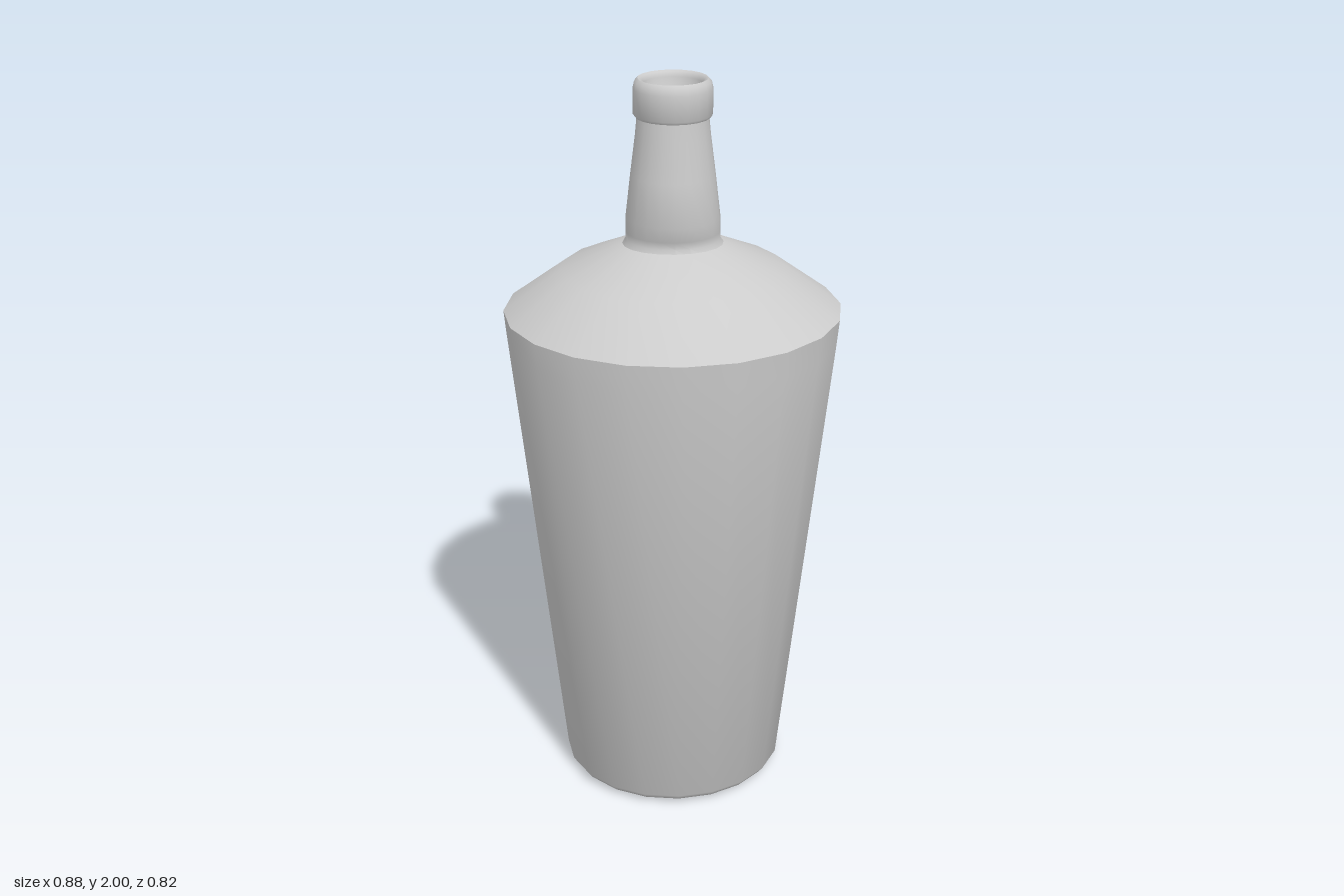
import * as THREE from 'three';
import { mergeVertices, toCreasedNormals } from 'three/addons/utils/BufferGeometryUtils.js';

const SIDES = 20;
const material = new THREE.MeshStandardMaterial({ color: 0xcccccc });

// Turns rows of [x radius, y, z radius] into an oval lathe with softened shading.
function ovalLathe(name, rows, crease = 0.9) {
  const geometry = new THREE.LatheGeometry(rows.map(([r, y]) => new THREE.Vector2(r, y)), SIDES);
  const position = geometry.attributes.position;
  for (let i = 0; i < position.count; i++) {
    const [rx, , rz = rx] = rows[i % rows.length];
    if (rx > 0) position.setZ(i, position.getZ(i) * rz / rx);
  }
  geometry.deleteAttribute('uv');
  geometry.deleteAttribute('normal');
  const mesh = new THREE.Mesh(toCreasedNormals(mergeVertices(geometry, 1e-5), crease), material);
  mesh.name = name;
  return mesh;
}

// Thin curved panel that follows the tapered back of the body.
function backLabel() {
  const yLow = 0.66, yHigh = 1.165, gap = 0.003, steps = 16;
  const geometry = new THREE.PlaneGeometry(1, 1, steps, 1);
  const position = geometry.attributes.position;
  for (let i = 0; i < position.count; i++) {
    const u = position.getX(i) + 0.5;
    const y = position.getY(i) > 0 ? yHigh : yLow;
    const t = (y - 0.035) / (1.4 - 0.035);
    const angle = THREE.MathUtils.degToRad(THREE.MathUtils.lerp(40, 140, u));
    position.setXYZ(i,
      Math.cos(angle) * (THREE.MathUtils.lerp(0.31, 0.442, t) + gap), y,
      -Math.sin(angle) * (THREE.MathUtils.lerp(0.285, 0.408, t) + gap));
  }
  geometry.computeVertexNormals();
  const mesh = new THREE.Mesh(geometry, new THREE.MeshStandardMaterial({ color: 0xcccccc, side: THREE.DoubleSide }));
  mesh.name = 'backLabel';
  return mesh;
}

export function createModel() {
  const bottle = new THREE.Group();
  bottle.name = 'bottle';

  // Tapered oval body with a bevelled foot and sloping shoulder
  bottle.add(ovalLathe('body', [
    [0, 0.004], [0.06, 0.005, 0.055], [0.28, 0.012, 0.257], [0.298, 0.018, 0.274], [0.31, 0.035, 0.285],
    [0.436, 1.33, 0.402], [0.442, 1.4, 0.408], [0.29, 1.51, 0.272], [0.14, 1.575, 0.125], [0.11, 1.585, 0.095],
  ]));

  // Neck, pinched front to back where it meets the shoulder
  bottle.add(ovalLathe('neck', [
    [0.135, 1.572, 0.115], [0.122, 1.59, 0.102], [0.122, 1.61, 0.107], [0.121, 1.65, 0.122],
    [0.108, 1.76, 0.109], [0.095, 1.86], [0.09, 1.91],
  ]));

  // Rolled lip with a recessed mouth
  bottle.add(ovalLathe('lip', [
    [0.085, 1.905], [0.095, 1.905], [0.1, 1.912], [0.1, 1.975], [0.096, 1.992], [0.088, 2],
    [0.08, 1.997], [0.075, 1.985], [0.073, 1.95], [0.05, 1.92], [0, 1.905],
  ]));

  bottle.add(backLabel());
  return bottle;
}
